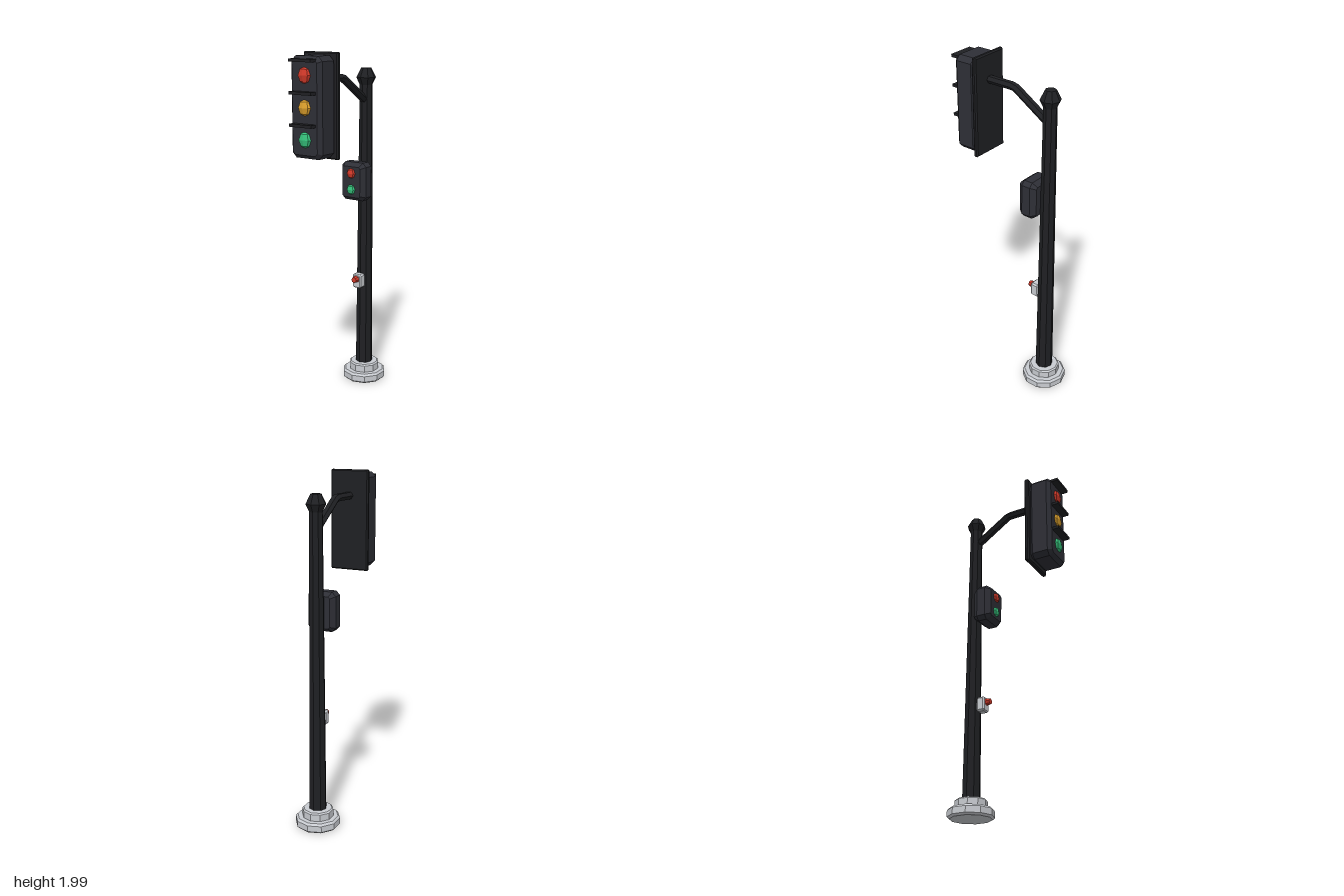
import * as THREE from 'three';

const mat = (color) => new THREE.MeshStandardMaterial({ color, flatShading: true });
const POLE_Z = -0.235;

export function createModel() {
  const group = new THREE.Group();
  const dark = mat(0x1f2023), shell = mat(0x2e2f36), pale = mat(0xc9ccd1);
  const red = mat(0xd23a2a), amber = mat(0xdca02c), green = mat(0x36c27c);

  const add = (name, geometry, material, x = 0, y = 0, z = 0) => {
    const mesh = new THREE.Mesh(geometry, material);
    mesh.name = name;
    mesh.position.set(x, y, z);
    group.add(mesh);
    return mesh;
  };

  // Box with cut corners and bevelled front and back rims, centred on its middle
  const bevelBox = (w, h, d, corner, size, depth) => {
    const a = w / 2 - size, b = h / 2 - size, c = corner;
    const shape = new THREE.Shape([
      [a - c, -b], [a, c - b], [a, b - c], [a - c, b],
      [c - a, b], [-a, b - c], [-a, c - b], [c - a, -b],
    ].map(([x, y]) => new THREE.Vector2(x, y)));
    const geometry = new THREE.ExtrudeGeometry(shape, {
      depth: d - 2 * depth, bevelEnabled: true, bevelSegments: 1,
      bevelSize: size, bevelThickness: depth,
    });
    return geometry.translate(0, 0, -(d / 2 - depth));
  };

  // Faceted body of revolution from [radius, height] pairs
  const turned = (points, sides) =>
    new THREE.LatheGeometry(points.map(([r, y]) => new THREE.Vector2(r, y)), sides);

  // Flattened faceted lens
  const lamp = (name, r, bulge, material, y, z) =>
    add(name, new THREE.SphereGeometry(r, 8, 4), material, 0, y, z).scale.set(1, 1, bulge / r);

  // Stepped foot
  add('baseLower', turned([[0, 0.007], [0.118, 0.007], [0.13, 0.018], [0.13, 0.053],
    [0.118, 0.065], [0, 0.065]], 10), pale, 0, 0, POLE_Z);
  add('baseUpper', turned([[0, 0.06], [0.09, 0.06], [0.09, 0.105], [0.082, 0.113],
    [0, 0.113]], 10), pale, 0, 0, POLE_Z);

  // Tapered pole and finial
  add('pole', new THREE.CylinderGeometry(0.037, 0.051, 1.71, 8), dark, 0, 0.955, POLE_Z);
  add('finial', turned([[0, 1.788], [0.03, 1.79], [0.057, 1.845], [0.03, 1.898],
    [0, 1.9]], 8), dark, 0, 0, POLE_Z);

  // Bent arm made of two straight runs
  const bend = new THREE.CurvePath();
  const [p0, p1, p2] = [[1.715, -0.225], [1.857, -0.005], [1.857, 0.18]]
    .map(([y, z]) => new THREE.Vector3(0, y, z));
  bend.add(new THREE.LineCurve3(p0, p1));
  bend.add(new THREE.LineCurve3(p1, p2));
  add('arm', new THREE.TubeGeometry(bend, 16, 0.022, 6), dark).scale.x = 1.15;

  // Main signal head
  add('backPlate', bevelBox(0.23, 0.565, 0.028, 0.001, 0.007, 0.008), dark, 0, 1.718, 0.177);
  add('signalHousing', bevelBox(0.204, 0.535, 0.14, 0.015, 0.02, 0.022), shell, 0, 1.716, 0.255);
  [['red', red, 1.885], ['amber', amber, 1.718], ['green', green, 1.55]].forEach(([name, m, y]) => {
    lamp(`${name}Lamp`, 0.045, 0.026, m, y, 0.32);
    add(`${name}Visor`, new THREE.BoxGeometry(0.146, 0.016, 0.065), dark, 0, y + 0.077, 0.333);
  });

  // Pedestrian signal
  add('walkHousing', bevelBox(0.168, 0.222, 0.112, 0.01, 0.022, 0.03), shell, 0, 1.26, -0.146);
  lamp('stopLamp', 0.03, 0.018, red, 1.31, -0.092);
  lamp('walkLamp', 0.03, 0.018, green, 1.215, -0.092);

  // Push button box
  add('buttonBox', bevelBox(0.06, 0.085, 0.05, 0.006, 0.006, 0.008), pale, 0, 0.646, -0.172);
  add('button', new THREE.CylinderGeometry(0.017, 0.021, 0.03, 8), red, 0, 0.66, -0.136)
    .rotation.x = Math.PI / 2;

  return group;
}
